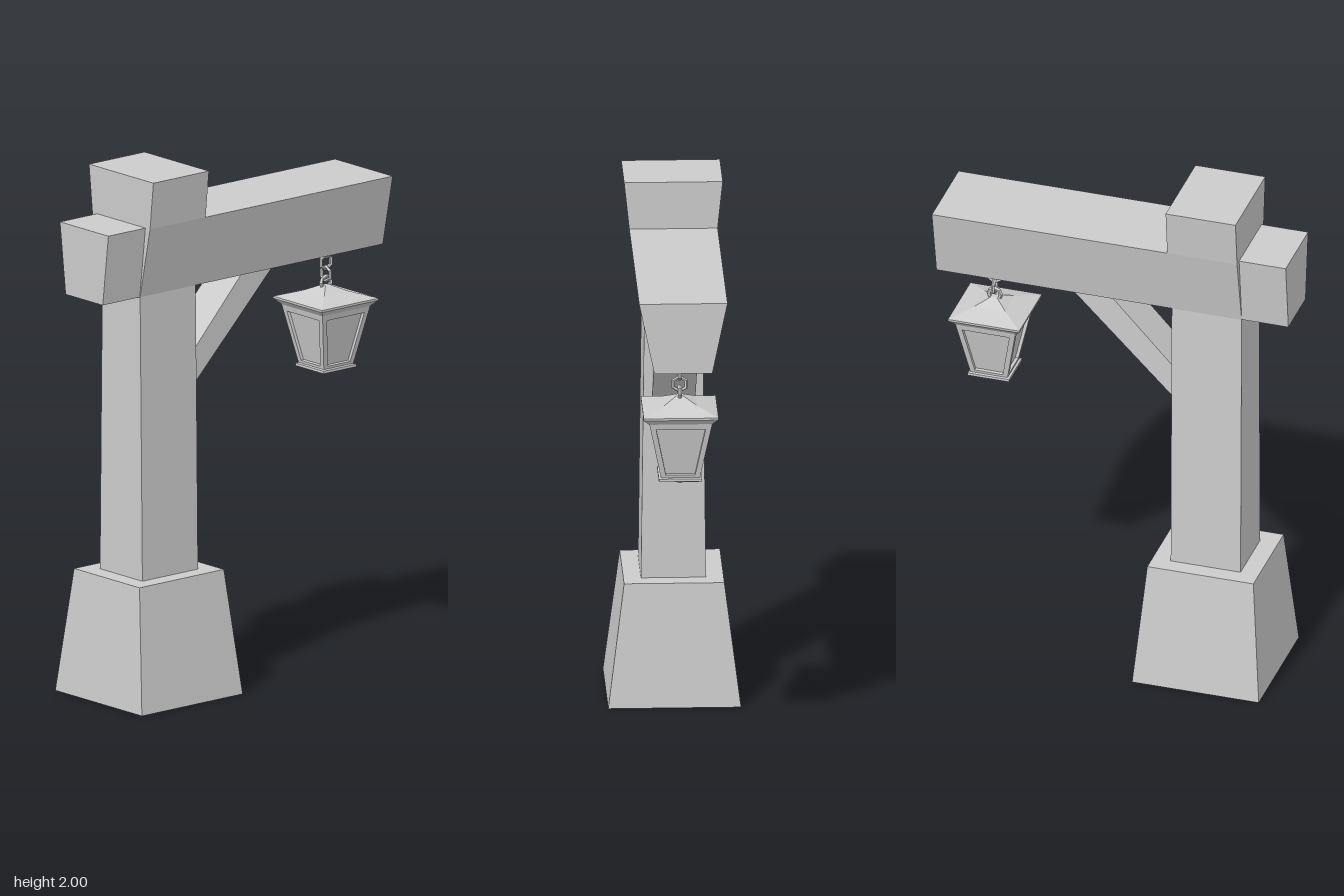
import * as THREE from 'three';

const material = new THREE.MeshStandardMaterial({ color: 0xcccccc, flatShading: true });

function add(parent, name, geometry, x = 0, y = 0, z = 0) {
  const mesh = new THREE.Mesh(geometry, material);
  mesh.name = name;
  mesh.position.set(x, y, z);
  parent.add(mesh);
  return mesh;
}

// Solid through rectangular sections [y, xMin, xMax, halfDepth], bottom to top
function loft(sections) {
  const rings = sections.map(([y, a, b, d]) =>
    [[a, y, d], [b, y, d], [b, y, -d], [a, y, -d]]);
  const pos = [];
  const quad = (a, b, c, d) => pos.push(...a, ...b, ...c, ...a, ...c, ...d);
  for (let i = 0; i < rings.length - 1; i++) {
    const p = rings[i], q = rings[i + 1];
    for (let k = 0; k < 4; k++) {
      const n = (k + 1) % 4;
      quad(p[k], p[n], q[n], q[k]);
    }
  }
  const f = rings[0], l = rings[rings.length - 1];
  quad(f[3], f[2], f[1], f[0]);
  quad(l[0], l[1], l[2], l[3]);
  const g = new THREE.BufferGeometry();
  g.setAttribute('position', new THREE.Float32BufferAttribute(pos, 3));
  g.computeVertexNormals();
  return g;
}

// Square loft from [y, half width]
const squareLoft = (list) => loft(list.map(([y, h]) => [y, -h, h, h]));

function polygon(points, Type = THREE.Shape) {
  return new Type(points.map(([x, y]) => new THREE.Vector2(x, y)));
}

function createLantern() {
  const lantern = new THREE.Group();
  lantern.name = 'lantern';

  // Roof with thin eave and flared slope
  add(lantern, 'lanternRoof', squareLoft([
    [1.33, 0.116], [1.338, 0.124], [1.352, 0.138], [1.36, 0.138],
    [1.385, 0.06], [1.402, 0.024], [1.408, 0.012]]));

  // Recessed panes
  add(lantern, 'lanternGlass', squareLoft([[1.1, 0.058], [1.335, 0.104]]));

  // Four sloping window frames
  const bottom = 0.071, top = 0.117, rise = 0.23;
  const height = Math.hypot(rise, top - bottom);
  const depth = 0.014;
  const frame = polygon([[-bottom, 0], [bottom, 0], [top, height], [-top, height]]);
  frame.holes.push(polygon(
    [[-0.054, 0.016], [-0.091, height - 0.028], [0.091, height - 0.028], [0.054, 0.016]], THREE.Path));
  const frameGeometry = new THREE.ExtrudeGeometry(frame, { depth, bevelEnabled: false });
  frameGeometry.translate(0, 0, -depth);
  frameGeometry.rotateX(Math.atan2(top - bottom, rise));
  frameGeometry.translate(0, 1.105, bottom);
  for (let i = 0; i < 4; i++) {
    add(lantern, 'windowFrame', frameGeometry).rotation.y = i * Math.PI / 2;
  }

  // Bottom plate and finial
  add(lantern, 'lanternBase', squareLoft([[1.092, 0.068], [1.097, 0.08], [1.107, 0.08], [1.11, 0.072]]));
  add(lantern, 'finial', new THREE.LatheGeometry(
    [[0, 1.068], [0.011, 1.07], [0.014, 1.08], [0.024, 1.086], [0.026, 1.094]]
      .map(([x, y]) => new THREE.Vector2(x, y)), 8));

  // Hanging ring on the roof and the chain of alternating links
  add(lantern, 'hangingRing', new THREE.TorusGeometry(0.024, 0.008, 5, 8), 0, 1.417, 0);
  const link = new THREE.TorusGeometry(0.027, 0.007, 5, 6);
  link.rotateZ(Math.PI / 6);
  [1.45, 1.495, 1.54].forEach((y, i) => {
    add(lantern, 'chainLink', link, 0, y, 0).rotation.y = i % 2 ? 0 : Math.PI / 2;
  });

  lantern.position.set(0.49, 0, 0.006);
  return lantern;
}

export function createModel() {
  const model = new THREE.Group();
  model.name = 'lanternPost';

  // Tapered foot
  add(model, 'base', loft([[0, -0.61, -0.12, 0.245], [0.47, -0.57, -0.16, 0.185]]));

  // Post, flaring in depth towards its head
  add(model, 'post', loft([
    [0.46, -0.5, -0.23, 0.12], [1.55, -0.5, -0.23, 0.107],
    [1.82, -0.5, -0.23, 0.163], [2, -0.5, -0.23, 0.182]]));

  // Crossbeam: long arm and short tail, wider on top
  add(model, 'beamArm', loft([[1.55, -0.23, 0.68, 0.107], [1.82, -0.23, 0.68, 0.163]]));
  add(model, 'beamTail', loft([[1.55, -0.68, -0.5, 0.105], [1.82, -0.68, -0.5, 0.137]]));

  // Diagonal brace
  const brace = new THREE.ExtrudeGeometry(
    polygon([[-0.24, 1.14], [0.18, 1.56], [0.03, 1.56], [-0.24, 1.27]]),
    { depth: 0.16, bevelEnabled: false });
  add(model, 'brace', brace, 0, 0, -0.08);

  model.add(createLantern());
  return model;
}
